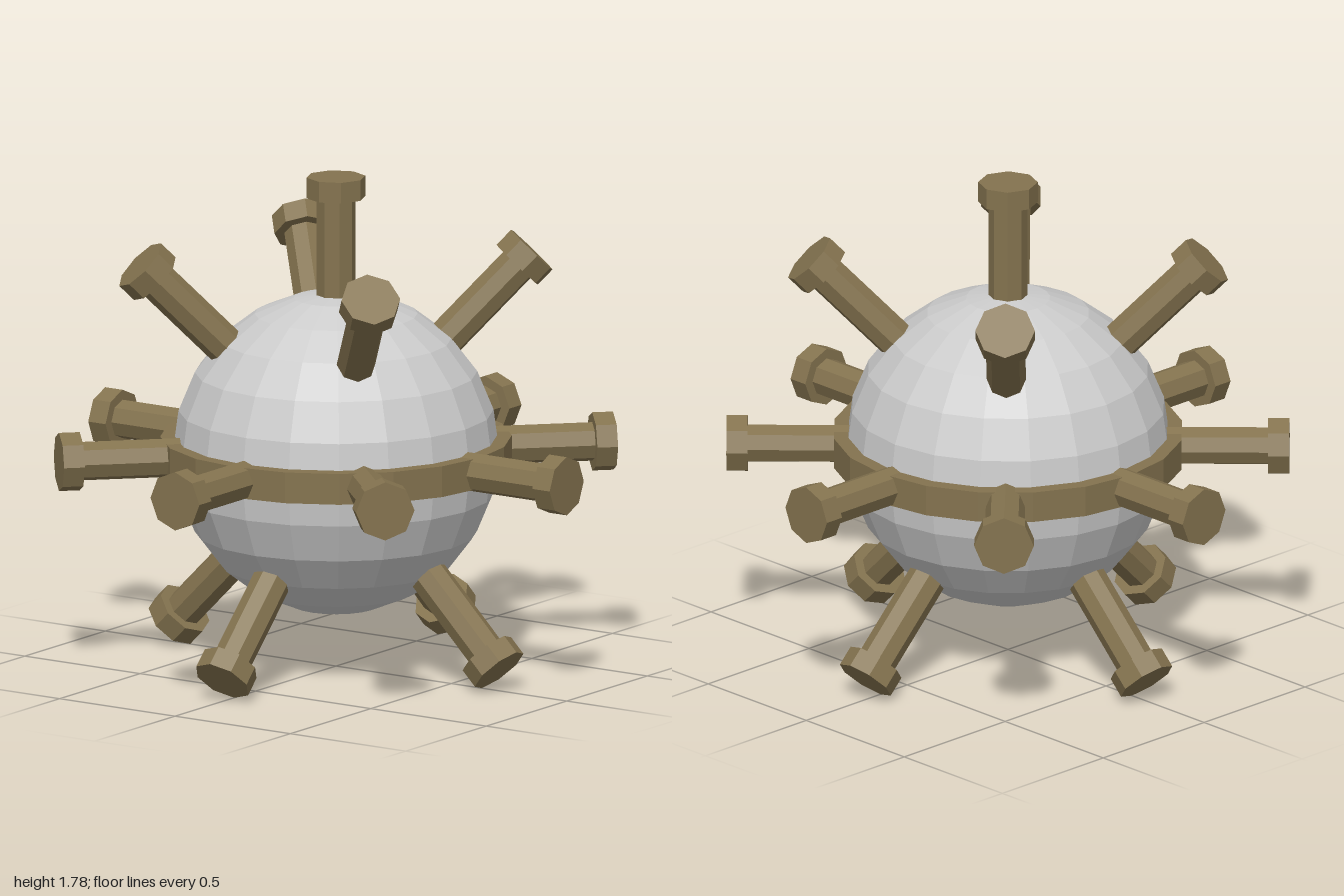
import * as THREE from 'three';

const CENTER_Y = 0.787;

export function createModel() {
  const model = new THREE.Group();
  model.name = 'spikedSphere';

  const grey = new THREE.MeshStandardMaterial({ color: 0xcccccc, flatShading: true });
  const bronze = new THREE.MeshStandardMaterial({ color: 0x84734f, flatShading: true });

  // Faceted main ball
  const ball = new THREE.Mesh(new THREE.SphereGeometry(0.58, 20, 12), grey);
  ball.name = 'ball';
  ball.position.y = CENTER_Y;
  model.add(ball);

  // Raised band with a rectangular section around the equator
  const section = [[0.565, -0.056], [0.625, -0.056], [0.625, 0.056], [0.565, 0.056], [0.565, -0.056]]
    .map(([r, y]) => new THREE.Vector2(r, y));
  const band = new THREE.Mesh(new THREE.LatheGeometry(section, 20), bronze);
  band.name = 'equatorBand';
  band.position.y = CENTER_Y;
  model.add(band);

  // Octagonal prong: shaft rooted in the ball, wider cap at the tip
  const shaftGeometry = new THREE.CylinderGeometry(0.07, 0.07, 0.45, 8).translate(0, 0.725, 0);
  const capGeometry = new THREE.CylinderGeometry(0.106, 0.106, 0.075, 8).translate(0, 0.9625, 0);

  function addProng(name, azimuth, elevation) {
    const prong = new THREE.Group();
    prong.name = name;
    const shaft = new THREE.Mesh(shaftGeometry, bronze);
    shaft.name = 'shaft';
    const cap = new THREE.Mesh(capGeometry, bronze);
    cap.name = 'cap';
    prong.add(shaft, cap);
    prong.position.y = CENTER_Y;
    // Tilt away from vertical, then turn about the vertical axis
    prong.rotation.set(0, azimuth, elevation - Math.PI / 2, 'YXZ');
    model.add(prong);
  }

  const eighth = Math.PI / 4;
  addProng('topProng', 0, Math.PI / 2);
  for (let i = 0; i < 8; i++) addProng('equatorProng', i * eighth, 0);
  for (let i = 0; i < 4; i++) {
    addProng('upperProng', (2 * i + 1) * eighth, eighth);
    addProng('lowerProng', 2 * i * eighth, -eighth);
  }

  return model;
}
